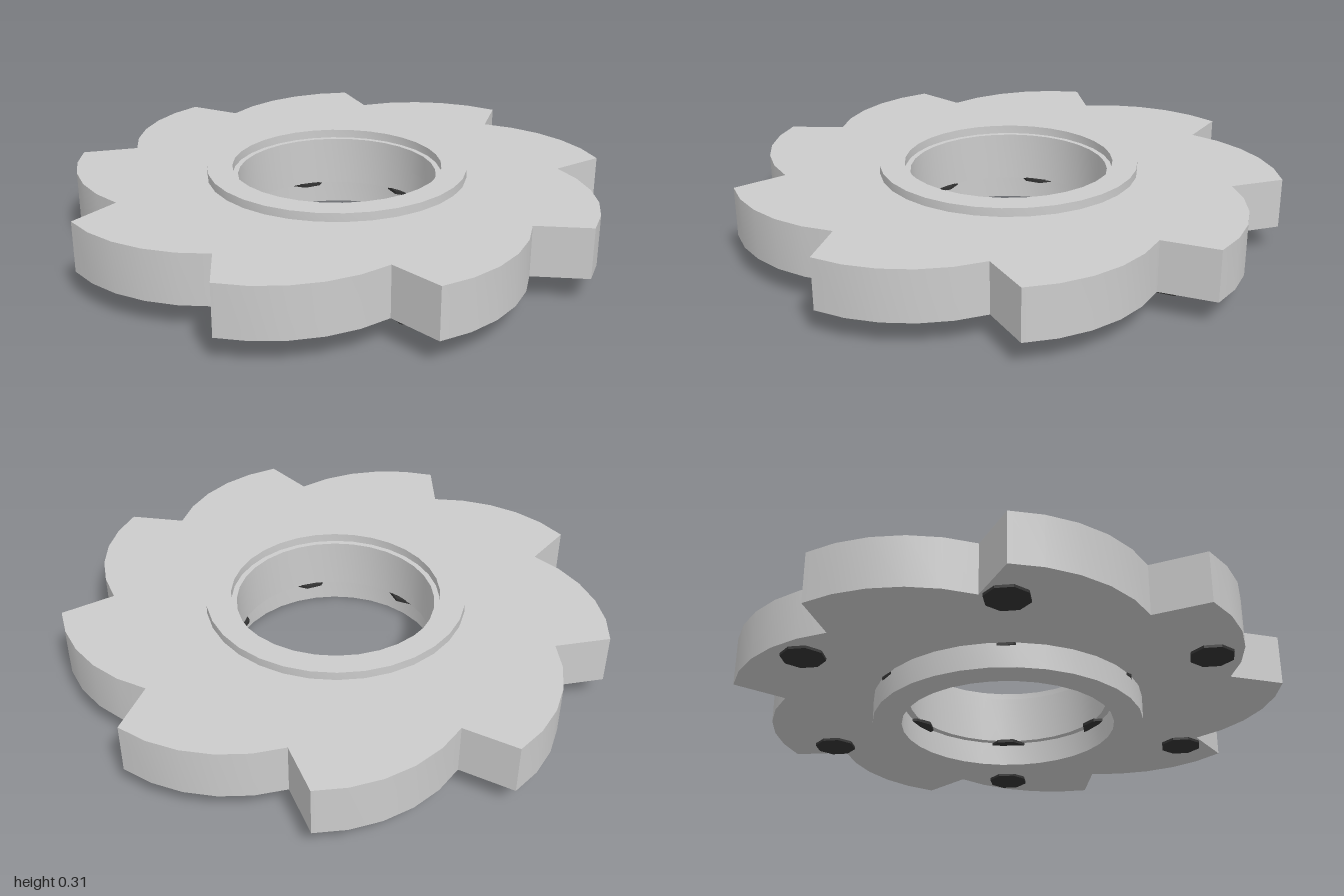
import * as THREE from 'three';
import { toCreasedNormals } from 'three/addons/utils/BufferGeometryUtils.js';

const TEETH = 9;
const BORE = 0.37;
const BODY_BOTTOM = 0.093;
const BODY_TOP = 0.28;

const grey = new THREE.MeshStandardMaterial({ color: 0xcccccc });
const dark = new THREE.MeshStandardMaterial({ color: 0x333333 });

// Extrudes a plan outline (x, z) with a round hole between two heights
function plate(name, outline, holeRadius, bottom, top) {
  const hole = new THREE.Path();
  hole.absarc(0, 0, holeRadius, 0, Math.PI * 2, true);
  outline.holes.push(hole);
  const extruded = new THREE.ExtrudeGeometry(outline, {
    depth: top - bottom, bevelEnabled: false, curveSegments: 16,
  });
  extruded.rotateX(Math.PI / 2).translate(0, top, 0);
  const mesh = new THREE.Mesh(toCreasedNormals(extruded, 0.5), grey);
  mesh.name = name;
  return mesh;
}

function disc(radius) {
  const shape = new THREE.Shape();
  shape.absarc(0, 0, radius, 0, Math.PI * 2, false);
  return shape;
}

// Saw-like outline: each tooth is an arc rising from a valley to a sharp tip
function toothedOutline() {
  const points = [];
  const centre = new THREE.Vector2(0.3015, 0.325);
  const start = THREE.MathUtils.degToRad(-24.1);
  const end = THREE.MathUtils.degToRad(34.5);
  const steps = 5;
  for (let t = 0; t < TEETH; t++) {
    for (let i = 0; i <= steps; i++) {
      const a = start + (end - start) * i / steps;
      const p = new THREE.Vector2(Math.cos(a), Math.sin(a)).multiplyScalar(0.576).add(centre);
      points.push(p.rotateAround(new THREE.Vector2(), t * Math.PI * 2 / TEETH));
    }
  }
  return new THREE.Shape(points);
}

// Six thin faceted pads under the body on a circle
function padCircle(name, circleRadius) {
  const group = new THREE.Group();
  group.name = name;
  const geometry = toCreasedNormals(new THREE.CylinderGeometry(0.08, 0.08, 0.012, 8), 0.5);
  for (let i = 0; i < 6; i++) {
    const a = i * Math.PI / 3;
    const pad = new THREE.Mesh(geometry, dark);
    pad.name = 'pad';
    pad.position.set(Math.cos(a) * circleRadius, BODY_BOTTOM - 0.004, Math.sin(a) * circleRadius);
    group.add(pad);
  }
  return group;
}

export function createModel() {
  const model = new THREE.Group();
  model.name = 'toothedWheel';
  const wheel = new THREE.Group();
  wheel.name = 'wheel';
  wheel.position.x = -0.022;
  wheel.add(
    plate('toothedBody', toothedOutline(), BORE, BODY_BOTTOM, BODY_TOP),
    plate('upperRing', disc(0.483), 0.39, BODY_TOP, 0.312),
    plate('lowerHub', disc(0.503), 0.396, 0, BODY_BOTTOM),
    padCircle('outerPads', 0.815),
    padCircle('innerPads', 0.43),
  );
  model.add(wheel);
  return model;
}
